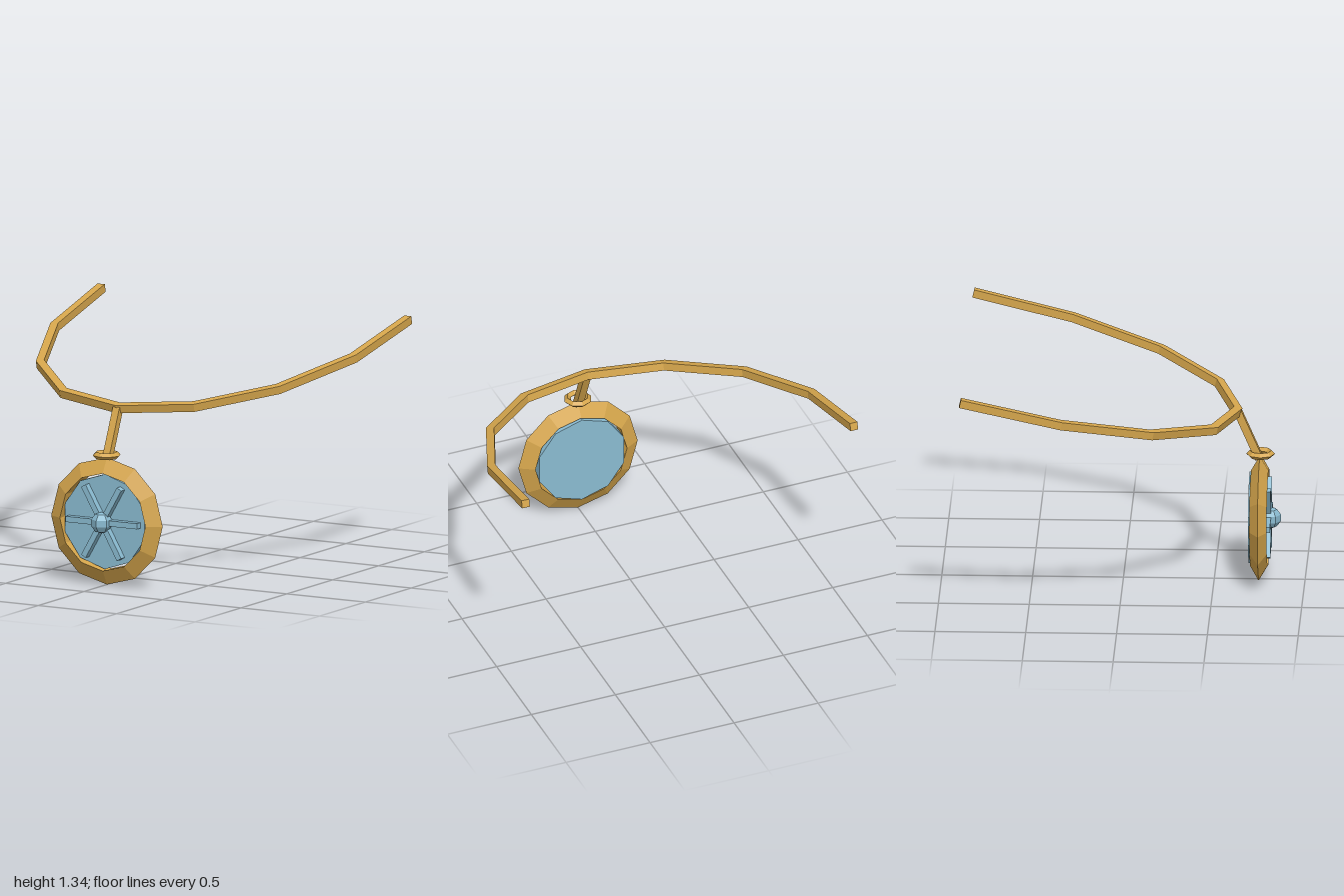
import * as THREE from 'three';

const gold = new THREE.MeshStandardMaterial({ name: 'gold', color: 0xd6a64c, flatShading: true });
const blue = new THREE.MeshStandardMaterial({ name: 'pale blue', color: 0x8abbd1, flatShading: true });

// Square bar swept along a flat path with mitred corners; normal is the path plane's normal.
function mitredBar(points, normal, half) {
  const rings = points.map((p, i) => {
    const tin = p.clone().sub(points[Math.max(i - 1, 0)]).normalize();
    const tout = points[Math.min(i + 1, points.length - 1)].clone().sub(p).normalize();
    const t = tin.clone().add(tout).normalize();
    const side = normal.clone().cross(t).normalize();
    const stretch = 1 / t.dot(i ? tin : tout);
    return [[1, 1], [-1, 1], [-1, -1], [1, -1]].map(([s, n]) =>
      p.clone().addScaledVector(side, s * half * stretch).addScaledVector(normal, n * half));
  });
  const pos = [];
  const quad = (a, b, c, d) => [a, b, c, a, c, d].forEach(v => pos.push(v.x, v.y, v.z));
  for (let i = 0; i < rings.length - 1; i++) {
    for (let k = 0; k < 4; k++) {
      const j = (k + 1) % 4;
      quad(rings[i][k], rings[i][j], rings[i + 1][j], rings[i + 1][k]);
    }
  }
  quad(...[...rings[0]].reverse());
  quad(...rings[rings.length - 1]);
  const g = new THREE.BufferGeometry();
  g.setAttribute('position', new THREE.Float32BufferAttribute(pos, 3));
  g.computeVertexNormals();
  return g;
}

export function createModel() {
  const model = new THREE.Group();
  model.name = 'pendantNecklace';
  const add = (name, geometry, material, x = 0, y = 0, z = 0, parent = model) => {
    const m = new THREE.Mesh(geometry, material);
    m.name = name;
    m.position.set(x, y, z);
    parent.add(m);
    return m;
  };

  // Open neck band lying in a plane that rises towards the back
  const slope = 0.234;
  const halfPath = [[0.415, 0.512], [0.757, 0.18], [0.952, -0.31], [0.977, -0.863]];
  const at = (x, z) => new THREE.Vector3(x, 0.97 + slope * (0.63 - z), z);
  const path = [
    ...halfPath.map(([x, z]) => at(-x, z)).reverse(),
    at(0, 0.627),
    ...halfPath.map(([x, z]) => at(x, z)),
  ];
  add('neckBand', mitredBar(path, new THREE.Vector3(0, 1, slope).normalize(), 0.0225), gold);

  // Slanted stem down to the medallion
  const stemTop = new THREE.Vector3(0, 0.97, 0.63);
  const stemEnd = new THREE.Vector3(0, 0.7, 0.748);
  const stemDir = stemEnd.clone().sub(stemTop).normalize();
  const stemNormal = new THREE.Vector3(1, 0, 0).cross(stemDir);
  add('stem', mitredBar([stemTop, stemEnd], stemNormal, 0.0215), gold);

  // Collar around the stem
  add('collar', new THREE.TorusGeometry(0.06, 0.019, 4, 8).rotateX(Math.PI / 2), gold, 0, 0.727, 0.755);

  // Medallion: ridged rim, disc, crossing spokes and hub
  const medallion = new THREE.Group();
  medallion.name = 'medallion';
  medallion.position.set(0, 0.357, 0.75);
  model.add(medallion);
  add('rim', new THREE.TorusGeometry(0.3, 0.055, 3, 12), gold, 0, 0, 0, medallion);
  add('disc', new THREE.CylinderGeometry(0.265, 0.265, 0.08, 10).rotateX(Math.PI / 2).rotateZ(Math.PI),
    blue, 0, 0, -0.016, medallion);
  for (let i = 0; i < 3; i++) {
    add('spoke', new THREE.BoxGeometry(0.455, 0.032, 0.045), blue, 0, 0, 0.0415, medallion)
      .rotation.z = i * Math.PI / 3;
  }
  add('hub', new THREE.SphereGeometry(0.06, 6, 5).rotateY(Math.PI / 2), blue, 0, 0, 0.06, medallion);

  // Point of the disc faces up
  medallion.getObjectByName('disc').rotation.z = discTurn(medallion.getObjectByName('disc').geometry);
  return model;
}

// Turn that brings a disc corner to the top
function discTurn(geometry) {
  const p = geometry.attributes.position;
  return Math.PI / 2 - Math.atan2(p.getY(0), p.getX(0));
}
